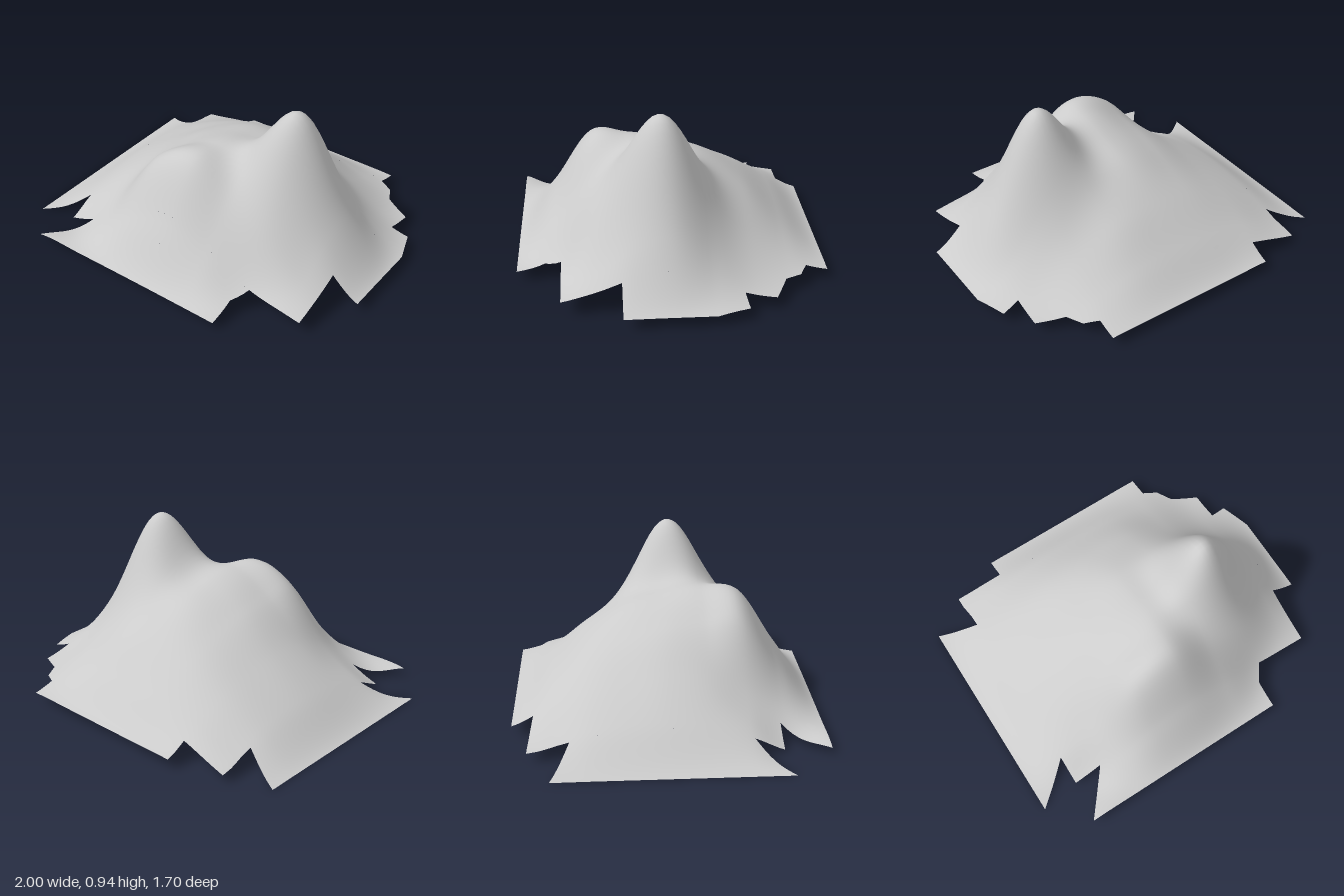
import * as THREE from 'three';

// Ground heights on an even grid: rows run back to front, columns right to left (-x to +x)
const HEIGHTS = [
  [0.02, 0.05, 0.07, 0.07, 0.07, 0.07, 0.07, 0.06, 0.05],
  [0.01, 0.09, 0.18, 0.23, 0.24, 0.22, 0.15, 0.07, 0.06],
  [0.01, 0.15, 0.28, 0.38, 0.42, 0.39, 0.26, 0.12, 0.06],
  [0.01, 0.18, 0.33, 0.47, 0.55, 0.47, 0.36, 0.21, 0.07],
  [0.01, 0.19, 0.36, 0.53, 0.60, 0.44, 0.45, 0.31, 0.07],
  [0.01, 0.17, 0.34, 0.55, 0.65, 0.48, 0.39, 0.27, 0.07],
  [0.01, 0.12, 0.26, 0.57, 0.65, 0.46, 0.33, 0.18, 0.07],
  [0.01, 0.03, 0.14, 0.29, 0.34, 0.25, 0.12, 0.09, 0.07],
  [0.01, 0.06, 0.06, 0.06, 0.06, 0.06, 0.06, 0.06, 0.06],
];
const N = HEIGHTS.length - 1;
const clampIndex = (i) => Math.min(N, Math.max(0, i));

// Smooth curve through four neighbouring values
function cubic(a, b, c, d, t) {
  return b + 0.5 * t * (c - a + t * (2 * a - 5 * b + 4 * c - d + t * (3 * (b - c) + d - a)));
}

function heightAt(x, z) {
  const u = (x + 1) / 2 * N;
  const v = (z + 0.85) / 1.7 * N;
  const i = Math.min(N - 1, Math.max(0, Math.floor(u)));
  const j = Math.min(N - 1, Math.max(0, Math.floor(v)));
  const rows = [-1, 0, 1, 2].map((dj) => {
    const row = HEIGHTS[clampIndex(j + dj)];
    const vals = [-1, 0, 1, 2].map((di) => row[clampIndex(i + di)]);
    return cubic(...vals, u - i);
  });
  // Tall summit added on top of the rolling ground
  const r2 = (x - 0.42) ** 2 + (z - 0.06) ** 2;
  const summit = 0.5 * Math.exp(-r2 / 0.0625);
  return Math.max(0, cubic(...rows, v - j) + summit);
}

// Grid over a four-sided plan area: back right, back left, front left, front right as [x, z]
function landPatch(a, b, c, d) {
  const width = Math.max(Math.abs(b[0] - a[0]), Math.abs(c[0] - d[0]));
  const depth = Math.max(Math.abs(d[1] - a[1]), Math.abs(c[1] - b[1]));
  const nx = Math.max(2, Math.ceil(width / 0.03));
  const nz = Math.max(2, Math.ceil(depth / 0.03));
  const geo = new THREE.PlaneGeometry(1, 1, nx, nz);
  const pos = geo.attributes.position;
  const nor = geo.attributes.normal;
  const n = new THREE.Vector3();
  const e = 0.02;
  for (let k = 0; k < pos.count; k++) {
    const s = pos.getX(k) + 0.5;
    const t = 0.5 - pos.getY(k);
    const mix = (m) => (a[m] * (1 - s) + b[m] * s) * (1 - t) + (d[m] * (1 - s) + c[m] * s) * t;
    const x = mix(0);
    const z = mix(1);
    pos.setXYZ(k, x, heightAt(x, z), z);
    // Slope normals match across neighbouring patches
    n.set(heightAt(x - e, z) - heightAt(x + e, z), 2 * e, heightAt(x, z - e) - heightAt(x, z + e));
    n.normalize();
    nor.setXYZ(k, n.x, n.y, n.z);
  }
  return geo;
}

export function createModel() {
  const group = new THREE.Group();
  group.name = 'mountain';
  const material = new THREE.MeshStandardMaterial({ color: 0xcccccc, side: THREE.DoubleSide });

  const patches = {
    // Back edge
    backSlope: [[-0.49, -0.85], [0.56, -0.85], [0.56, -0.73], [-0.49, -0.73]],
    backCorner: [[-0.78, -0.755], [-0.49, -0.73], [-0.49, -0.69], [-0.78, -0.69]],
    backStep: [[-0.49, -0.73], [0.56, -0.73], [0.64, -0.69], [-0.49, -0.69]],
    backShoulder: [[-0.78, -0.69], [0.64, -0.69], [0.69, -0.6], [-0.77, -0.6]],
    backFlank: [[-0.77, -0.6], [0.69, -0.6], [0.84, -0.53], [-0.77, -0.53]],
    // Main body with both summits
    summits: [[-0.77, -0.53], [0.84, -0.53], [0.84, 0.6], [-0.77, 0.6]],
    // Front edge
    frontFlank: [[-0.6, 0.6], [0.52, 0.6], [0.46, 0.69], [-0.675, 0.69]],
    frontSlope: [[-0.675, 0.69], [0.46, 0.69], [0.46, 0.845], [-0.8, 0.845]],
    // Pointed side skirts
    rightSkirt: [[-1, -0.63], [-0.77, -0.53], [-0.77, 0.44], [-1, 0.63]],
    leftSkirtBack: [[0.84, -0.36], [0.94, -0.375], [1, -0.2], [0.84, -0.2]],
    leftSkirt: [[0.84, -0.2], [1, -0.2], [1, 0.28], [0.84, 0.28]],
  };
  for (const [name, corners] of Object.entries(patches)) {
    const mesh = new THREE.Mesh(landPatch(...corners), material);
    mesh.name = name;
    group.add(mesh);
  }
  return group;
}
